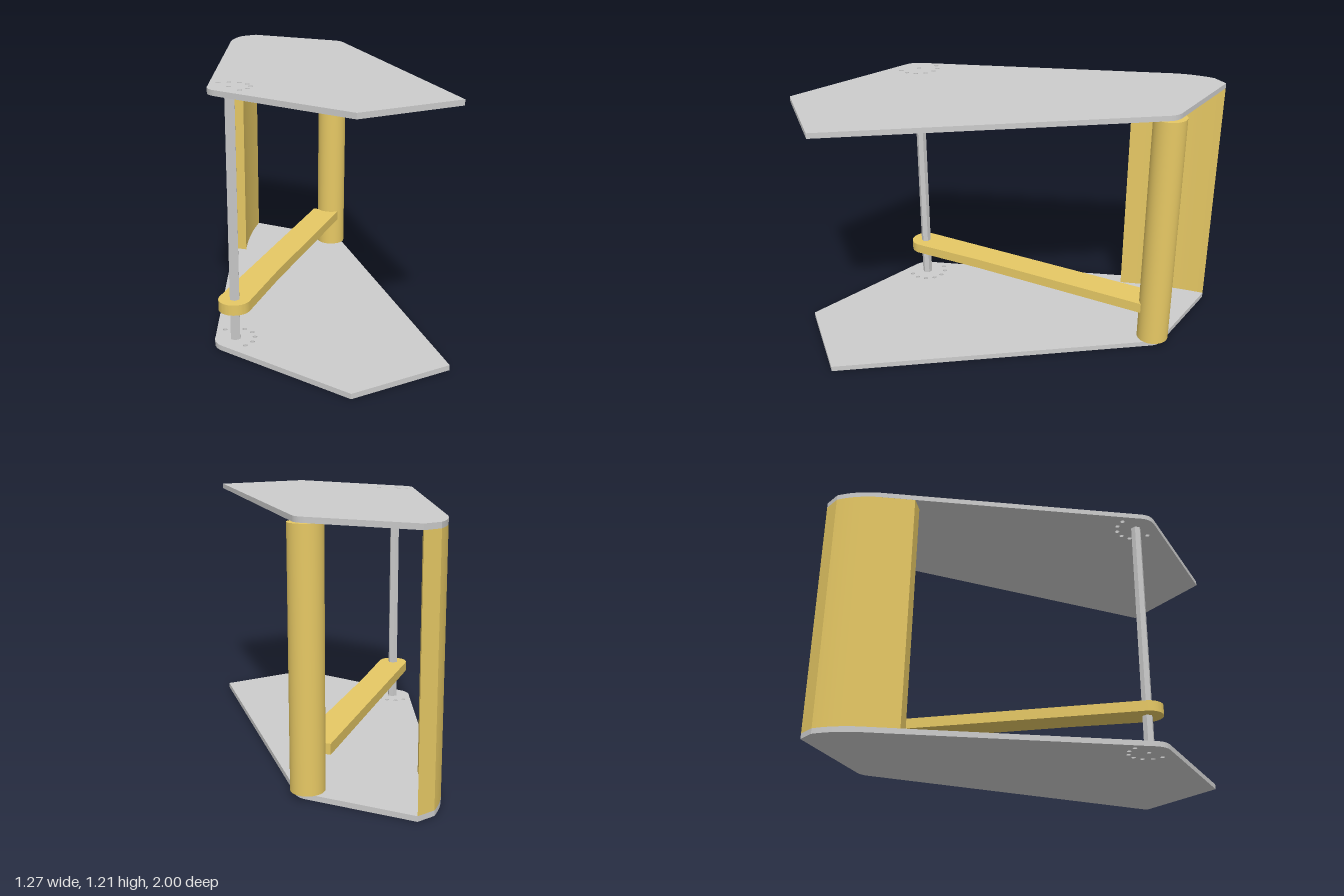
import * as THREE from 'three';
import { toCreasedNormals } from 'three/addons/utils/BufferGeometryUtils.js';

const HEIGHT = 1.21, PLATE = 0.025;
const PIVOT = { x: -0.54, z: 0.255 };
const grey = new THREE.MeshStandardMaterial({ color: 0xcccccc });
const yellow = new THREE.MeshStandardMaterial({ color: 0xe6c864 });

// Extrudes a plan outline (x, z) between two heights
function slab(name, shape, y0, y1, material) {
  const geo = new THREE.ExtrudeGeometry(shape, { depth: y1 - y0, bevelEnabled: false, curveSegments: 16 });
  geo.rotateX(Math.PI / 2).translate(0, y1, 0);
  const mesh = new THREE.Mesh(toCreasedNormals(geo, 0.4), material);
  mesh.name = name;
  return mesh;
}

function post(name, x, z, radius, sides, material) {
  const geo = new THREE.CylinderGeometry(radius, radius, HEIGHT - 2 * PLATE, sides, 1, false, Math.PI / 2);
  const mesh = new THREE.Mesh(sides < 12 ? toCreasedNormals(geo, 0.4) : geo, material);
  mesh.position.set(x, HEIGHT / 2, z);
  mesh.name = name;
  return mesh;
}

// Curved back corner shared by the plates and the wall
function backCorner(shape) {
  shape.lineTo(0.1, -0.87);
  shape.quadraticCurveTo(0.165, -0.955, 0.25, -1);
  shape.lineTo(0.34, -1);
}

function plateShape() {
  const s = new THREE.Shape();
  s.moveTo(-0.61, 0.19);
  backCorner(s);
  s.lineTo(0.585, -0.575);
  s.quadraticCurveTo(0.615, -0.53, 0.6, -0.49);
  s.lineTo(0.115, 0.995);
  s.lineTo(-0.385, 0.945);
  s.lineTo(-0.63, 0.29);
  s.quadraticCurveTo(-0.65, 0.24, -0.61, 0.19);

  // Pivot hole and a half ring of adjustment holes
  const hole = (x, z) => s.holes.push(new THREE.Path().absarc(x, z, 0.011, 0, Math.PI * 2, true));
  hole(PIVOT.x, PIVOT.z - 0.005);
  for (let i = -3; i <= 3; i++) {
    const a = i * Math.PI / 6;
    hole(PIVOT.x + 0.092 * Math.cos(a), PIVOT.z - 0.005 + 0.094 * Math.sin(a));
  }
  return s;
}

function wallShape() {
  const s = new THREE.Shape();
  s.moveTo(0, -0.72);
  backCorner(s);
  s.quadraticCurveTo(0.18, -0.855, 0.05, -0.66);
  s.closePath();
  return s;
}

// Lever arm with a round end about the pivot rod
function armShape() {
  const s = new THREE.Shape();
  const a = Math.atan2(-0.78, 1.09), r = 0.075;
  s.absarc(PIVOT.x, PIVOT.z, r, a + Math.PI / 2, a + Math.PI * 1.5, false);
  s.lineTo(0.465, -0.567);
  s.lineTo(0.55, -0.447);
  s.lineTo(-0.2, 0.09);
  s.closePath();
  return s;
}

export function createModel() {
  const group = new THREE.Group();
  group.name = 'leverFrame';
  group.add(
    slab('bottomPlate', plateShape(), 0, PLATE, grey),
    slab('topPlate', plateShape(), HEIGHT - PLATE, HEIGHT, grey),
    slab('backWall', wallShape(), PLATE, HEIGHT - PLATE, yellow),
    slab('leverArm', armShape(), 0.175, 0.225, yellow),
    post('roundPost', 0.557, -0.525, 0.077, 48, yellow),
    post('pivotRod', PIVOT.x, PIVOT.z, 0.025, 6, grey)
  );
  return group;
}
